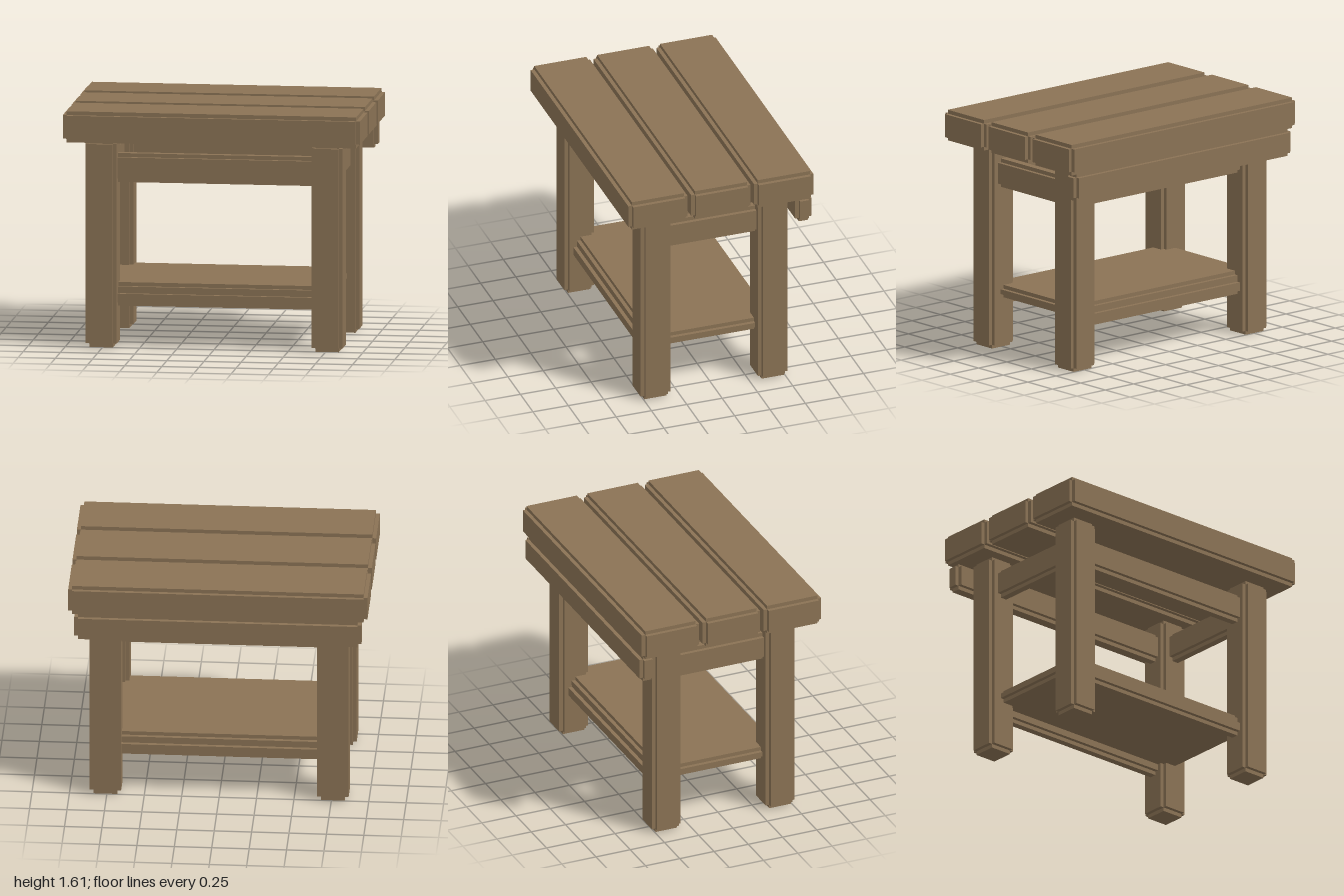
import * as THREE from 'three';
import { mergeGeometries } from 'three/addons/utils/BufferGeometryUtils.js';

const wood = new THREE.MeshStandardMaterial({ color: 0x8b7355, flatShading: true });
const STEP = 0.026;

// Timber with stepped (rebated) edges: three crossed boxes, each reaching full size along one axis
function timber(name, [x0, x1], [y0, y1], [z0, z1]) {
  const size = [x1 - x0, y1 - y0, z1 - z0];
  const boxes = [0, 1, 2].map((axis) =>
    new THREE.BoxGeometry(...size.map((s, i) => (i === axis ? s : s - 2 * STEP))));
  const mesh = new THREE.Mesh(mergeGeometries(boxes), wood);
  mesh.name = name;
  mesh.position.set((x0 + x1) / 2, (y0 + y1) / 2, (z0 + z1) / 2);
  return mesh;
}

// Range [a, b] mirrored to the chosen side of zero
const side = (s, a, b) => (s > 0 ? [a, b] : [-b, -a]);

export function createModel() {
  const table = new THREE.Group();
  table.name = 'workTable';

  // Three thick planks form the top
  for (const z of [-0.445, 0, 0.445]) {
    table.add(timber('topPlank', [-1, 1], [1.4, 1.61], [z - 0.21, z + 0.21]));
  }

  // Four legs
  for (const sx of [-1, 1]) {
    for (const sz of [-1, 1]) {
      table.add(timber('leg', side(sx, 0.655, 0.865), [0, 1.4], side(sz, 0.31, 0.52)));
    }
  }

  for (const s of [-1, 1]) {
    // Aprons under the top, running between the legs
    table.add(timber('longApron', [-0.76, 0.76], [1.11, 1.305], side(s, 0.365, 0.465)));
    table.add(timber('sideApron', side(s, 0.71, 0.81), [1.11, 1.305], [-0.415, 0.415]));
    // Rails carrying the shelf
    table.add(timber('shelfRail', [-0.76, 0.76], [0.275, 0.385], side(s, 0.365, 0.465)));
  }

  // Lower shelf
  table.add(timber('shelf', [-0.785, 0.785], [0.345, 0.43], [-0.44, 0.44]));

  // Extra rail behind the back legs
  table.add(timber('backRail', [-0.96, 0.96], [1.215, 1.405], [-0.655, -0.54]));

  return table;
}
